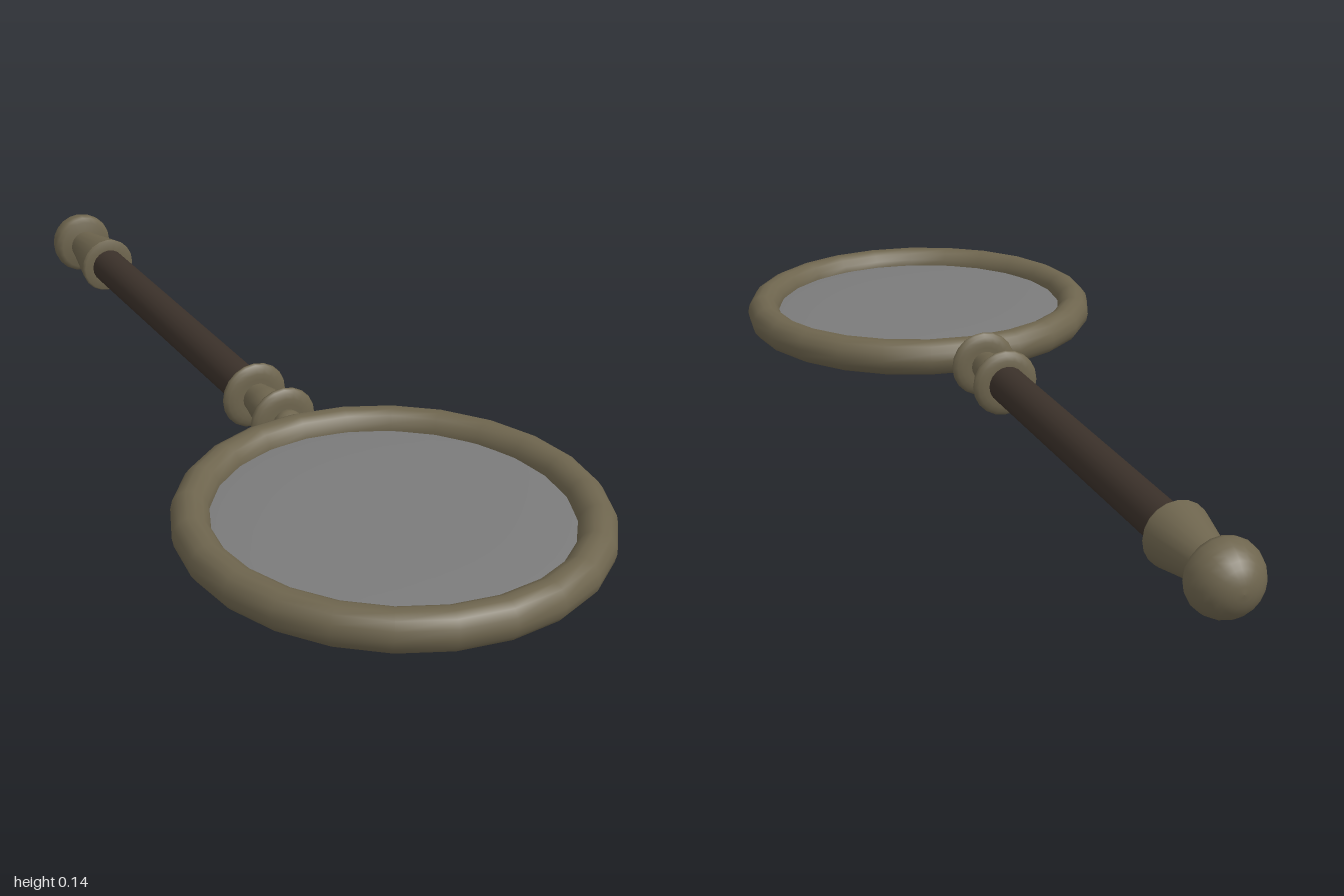
import * as THREE from 'three';

const AXIS_Y = 0.078;

const brass = new THREE.MeshStandardMaterial({ color: 0x6e654e });
brass.name = 'agedBrass';
const wood = new THREE.MeshStandardMaterial({ color: 0x3b312a });
wood.name = 'darkWood';
const glass = new THREE.MeshStandardMaterial({ color: 0x7b7b7b });
glass.name = 'greyGlass';

// Turned part: profile of [radius, z] pairs, from back to front along the handle axis
function turned(name, profile, material, sides = 20) {
  const points = profile.map(([r, z]) => new THREE.Vector2(r, z));
  const geometry = new THREE.LatheGeometry(points, sides).rotateX(Math.PI / 2);
  const mesh = new THREE.Mesh(geometry, material);
  mesh.name = name;
  mesh.position.y = AXIS_Y;
  return mesh;
}

// Rounded collar with an elliptical section
function collar(name, z) {
  const profile = [[0, z - 0.014]];
  for (let i = 0; i <= 8; i++) {
    const a = -Math.PI / 2 + (i / 8) * Math.PI;
    profile.push([0.04 + 0.031 * Math.cos(a), z + 0.014 * Math.sin(a)]);
  }
  profile.push([0, z + 0.014]);
  return turned(name, profile, brass);
}

export function createModel() {
  const group = new THREE.Group();
  group.name = 'magnifyingGlass';

  // Lens frame, slightly taller than wide in section
  const ring = new THREE.Mesh(new THREE.TorusGeometry(0.365, 0.036, 14, 24), brass);
  ring.geometry.rotateX(Math.PI / 2).scale(1, 1.08, 1);
  ring.name = 'lensFrame';
  ring.position.set(0, AXIS_Y + 0.002, 0.596);
  group.add(ring);

  // Gently domed lens
  const lensProfile = [];
  for (let i = 0; i <= 12; i++) {
    const t = -1 + i / 6;
    lensProfile.push(new THREE.Vector2(0.345 * Math.sqrt(1 - t * t), 0.012 * t));
  }
  const lens = new THREE.Mesh(new THREE.LatheGeometry(lensProfile, 32), glass);
  lens.name = 'lens';
  lens.position.copy(ring.position);
  group.add(lens);

  // Wooden grip
  group.add(turned('grip', [[0.04, -0.78], [0.04, 0.035]], wood));

  // Collars and the neck joining grip to frame
  group.add(collar('gripCollar', 0.038));
  group.add(collar('frameCollar', 0.166));
  group.add(turned('neck', [[0.03, 0.04], [0.032, 0.06], [0.037, 0.085], [0.038, 0.102],
    [0.037, 0.12], [0.032, 0.145], [0.03, 0.165]], brass));
  group.add(turned('frameJoint', [[0.024, 0.165], [0.031, 0.183], [0.032, 0.193],
    [0.027, 0.205], [0.02, 0.225]], brass));

  // Flared ferrule, with a flat front rim
  group.add(turned('ferrule', [[0.034, -0.93], [0.036, -0.9], [0.062, -0.772], [0.064, -0.76]], brass));
  group.add(turned('ferruleRim', [[0.064, -0.76], [0.06, -0.753], [0.038, -0.753]], brass));

  // Domed pommel
  const dome = [];
  for (let i = 0; i <= 8; i++) {
    const a = (i / 8) * Math.PI / 2;
    dome.push([0.071 * Math.sin(a), -0.928 - 0.072 * Math.cos(a)]);
  }
  dome.push([0.068, -0.917], [0.058, -0.911], [0.03, -0.907]);
  group.add(turned('pommel', dome, brass));

  return group;
}
